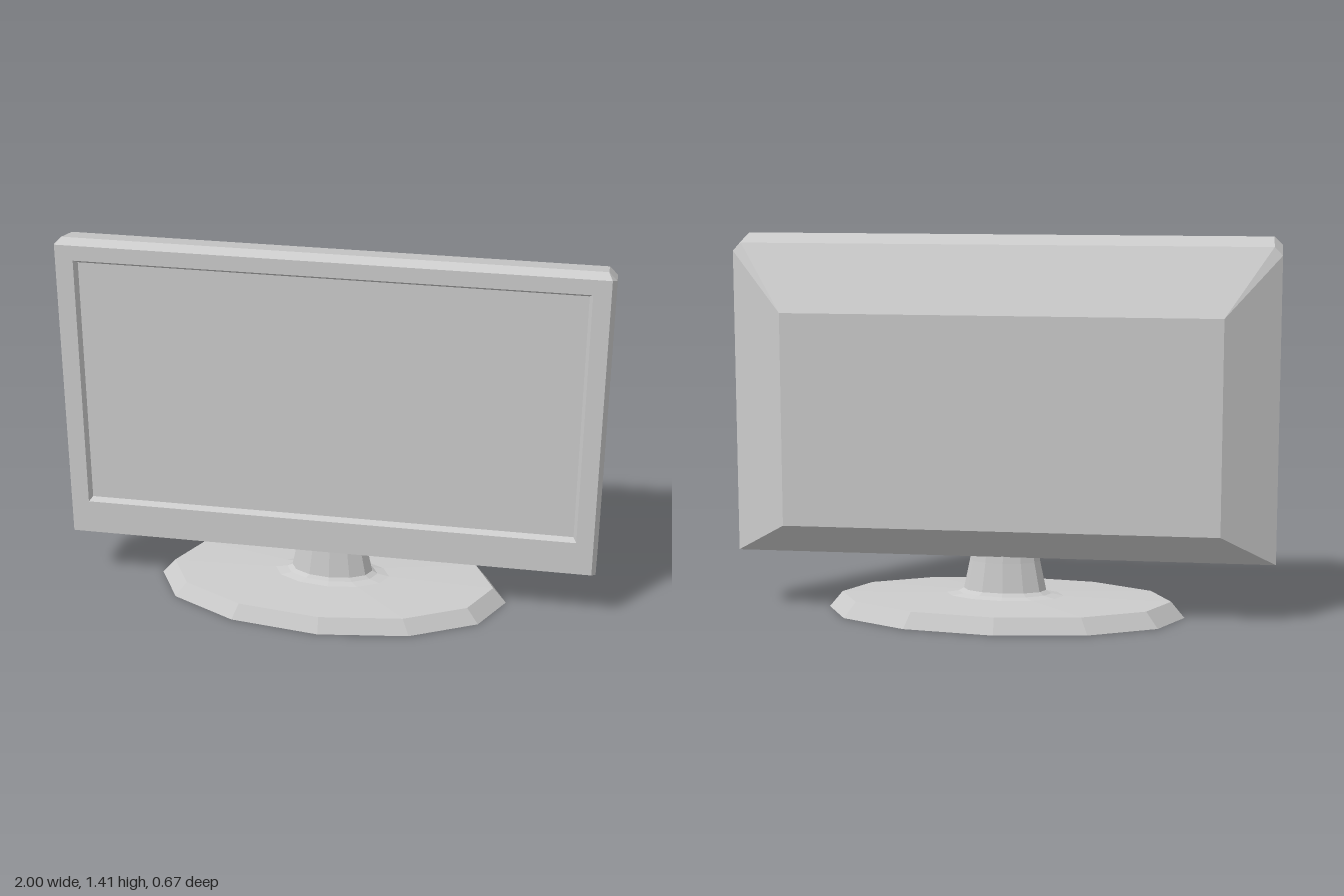
import * as THREE from 'three';

const material = new THREE.MeshStandardMaterial({ color: 0xcccccc, flatShading: true });

function addPart(group, name, geometry) {
  const mesh = new THREE.Mesh(geometry, material);
  mesh.name = name;
  group.add(mesh);
  return mesh;
}

// Rectangle at depth z, counter-clockwise from the front, with cut top corners
function section(z, halfWidth, bottom, top, cut = 0) {
  const w = halfWidth;
  return [
    [-w, bottom, z], [w, bottom, z],
    [w, top - cut, z], [w - cut, top, z],
    [cut - w, top, z], [-w, top - cut, z],
  ];
}

// Skin between successive sections, closed at the last one
function loft(sections) {
  const positions = [];
  const triangle = (...corners) => corners.forEach((c) => positions.push(...c));
  for (let s = 0; s < sections.length - 1; s++) {
    const a = sections[s], b = sections[s + 1];
    for (let i = 0; i < a.length; i++) {
      const j = (i + 1) % a.length;
      triangle(a[i], b[i], b[j]);
      triangle(a[i], b[j], a[j]);
    }
  }
  const end = sections[sections.length - 1];
  for (let i = 1; i < end.length - 1; i++) triangle(end[0], end[i + 1], end[i]);
  const geometry = new THREE.BufferGeometry();
  geometry.setAttribute('position', new THREE.Float32BufferAttribute(positions, 3));
  geometry.computeVertexNormals();
  return geometry;
}

// Twelve-sided turned form, half as deep as it is wide
function ovalLathe(profile) {
  const points = profile.map(([r, y]) => new THREE.Vector2(r, y));
  return new THREE.LatheGeometry(points, 12).scale(1, 1, 0.5);
}

export function createModel() {
  const model = new THREE.Group();
  model.name = 'monitor';

  // Housing: recess wall, bezel face, bevelled rim and tapered back
  addPart(model, 'housing', loft([
    section(0.08, 0.91, 0.36, 1.32),
    section(0.1, 0.922, 0.347, 1.333),
    section(0.1, 0.985, 0.215, 1.39),
    section(0.063, 1, 0.197, 1.407, 0.03),
    section(-0.062, 1, 0.225, 1.377, 0.03),
    section(-0.185, 0.8, 0.347, 1.132),
  ]));

  // Screen set back inside the bezel
  const screen = addPart(model, 'screen', new THREE.PlaneGeometry(1.82, 0.96));
  screen.position.set(0, 0.84, 0.08);

  // Oval foot with sloping rim
  addPart(model, 'standBase', ovalLathe([
    [0, 0], [0.67, 0], [0.62, 0.06], [0.22, 0.07], [0, 0.07],
  ]));

  // Flared neck running up into the housing
  addPart(model, 'standNeck', ovalLathe([
    [0.22, 0.07], [0.175, 0.078], [0.155, 0.09], [0.132, 0.2], [0.126, 0.24],
  ]));

  return model;
}
